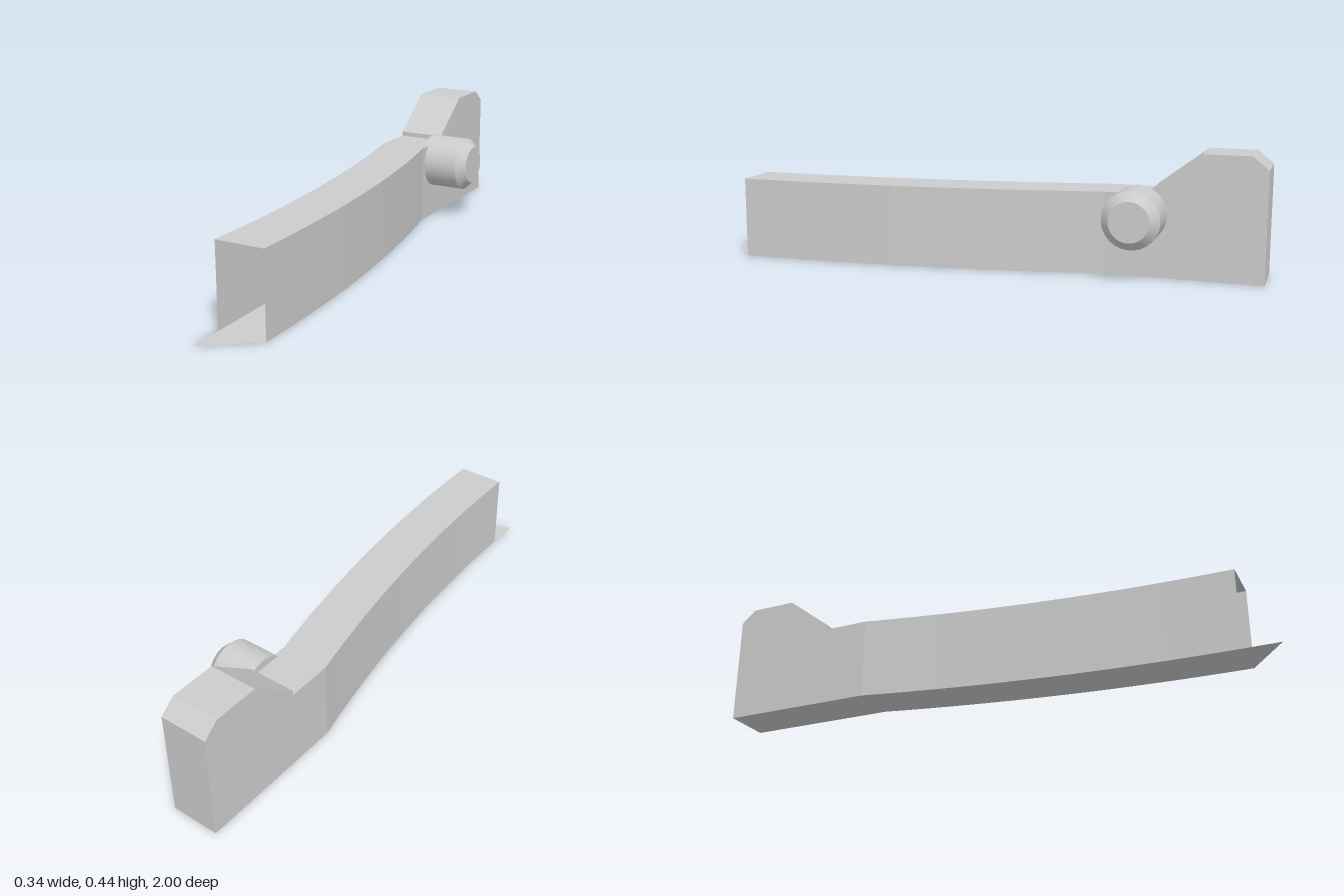
import * as THREE from 'three';

const WIDTH = 0.174;

// Non-indexed flat surface from quads [a, b, c, d], counter-clockwise from outside
function quadGeometry(quads) {
  const points = quads.flatMap(([a, b, c, d]) => [a, b, c, a, c, d]).flat();
  const geometry = new THREE.BufferGeometry();
  geometry.setAttribute('position', new THREE.Float32BufferAttribute(points, 3));
  geometry.computeVertexNormals();
  return geometry;
}

export function createModel() {
  const group = new THREE.Group();
  const grey = new THREE.MeshStandardMaterial({ color: 0xcccccc, side: THREE.DoubleSide });
  grey.name = 'light grey';

  const add = (name, geometry) => {
    const mesh = new THREE.Mesh(geometry, grey);
    mesh.name = name;
    group.add(mesh);
    return mesh;
  };

  // Stations along the bar: [z, left edge x, top y], raised block first
  const stations = [
    [-1, -0.169, 0.39], [-0.945, -0.169, 0.435], [-0.78, -0.169, 0.435],
    [-0.612, -0.169, 0.307], [-0.612, -0.169, 0.29],
  ];
  // Curved arm, straightening towards its open front end
  const steps = 16;
  for (let i = 0; i <= steps; i++) {
    const t = i / steps;
    stations.push([-0.45 + 1.32 * t, -0.017 - 0.152 * (1 - t) ** 2, 0.29]);
  }

  const sections = stations.map(([z, x, y]) => [
    [x, 0, z], [x + WIDTH, 0, z], [x + WIDTH, y, z], [x, y, z],
  ]);
  const shell = [];
  for (let i = 0; i < sections.length - 1; i++) {
    const a = sections[i], b = sections[i + 1];
    for (let k = 0; k < 4; k++) {
      // the block step has no floor or side area
      if (stations[i][0] === stations[i + 1][0] && k !== 2) continue;
      const n = (k + 1) % 4;
      shell.push([a[k], a[n], b[n], b[k]]);
    }
  }
  // Back wall; the front stays open
  const [p, q, r, s] = sections[0];
  shell.push([p, s, r, q]);
  add('hollowArm', quadGeometry(shell));

  // Pointed flap continuing the floor
  const flap = new THREE.BufferGeometry();
  flap.setAttribute('position', new THREE.Float32BufferAttribute(
    [-0.017, 0, 0.87, -0.017, 0, 1, 0.157, 0, 0.87], 3));
  flap.computeVertexNormals();
  add('floorFlap', flap);

  // Chamfered pin on the side
  const pin = new THREE.Group();
  pin.name = 'sidePin';
  const piece = (name, geometry, x) => {
    const mesh = add(name, geometry.rotateZ(-Math.PI / 2));
    mesh.position.x = x;
    pin.add(mesh);
  };
  piece('pinBarrel', new THREE.CylinderGeometry(0.1, 0.1, 0.145, 48), 0.0635);
  piece('pinChamfer', new THREE.CylinderGeometry(0.07, 0.1, 0.032, 48), 0.152);
  pin.position.set(0, 0.219, -0.567);
  group.add(pin);

  return group;
}
